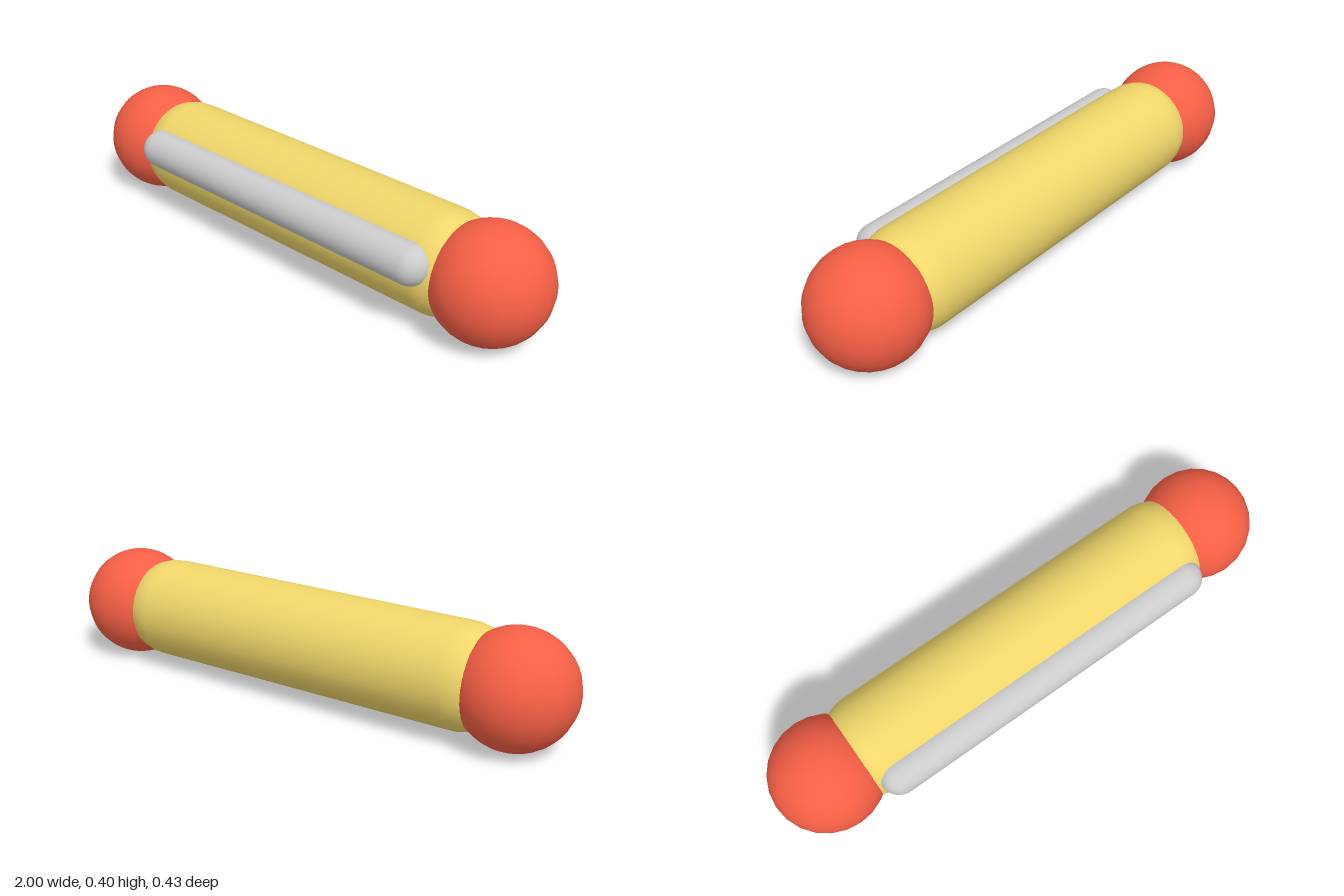
import * as THREE from 'three';

const red = new THREE.MeshStandardMaterial({ color: 0xf65f45 });
const yellow = new THREE.MeshStandardMaterial({ color: 0xf0d66a });
const grey = new THREE.MeshStandardMaterial({ color: 0xcccccc });

export function createModel() {
  const model = new THREE.Group();

  const add = (name, geometry, material, x, y, z) => {
    const mesh = new THREE.Mesh(geometry, material);
    mesh.name = name;
    mesh.position.set(x, y, z);
    model.add(mesh);
    return mesh;
  };

  // Rounded bar lying along x
  const bar = (radius, length) =>
    new THREE.CapsuleGeometry(radius, length, 12, 32).rotateZ(Math.PI / 2);

  // Main body and the raised strip on its front
  add('body', bar(0.182, 1.22), yellow, 0, 0.206, -0.0135);
  add('frontStrip', bar(0.07, 1.21), grey, 0, 0.257, 0.145);

  // Ball caps at both ends
  const ball = new THREE.SphereGeometry(0.202, 24, 24);
  for (const [side, name] of [[1, 'leftCap'], [-1, 'rightCap']]) {
    add(name, ball, red, side * 0.798, 0.203, -0.0135);
  }

  return model;
}
